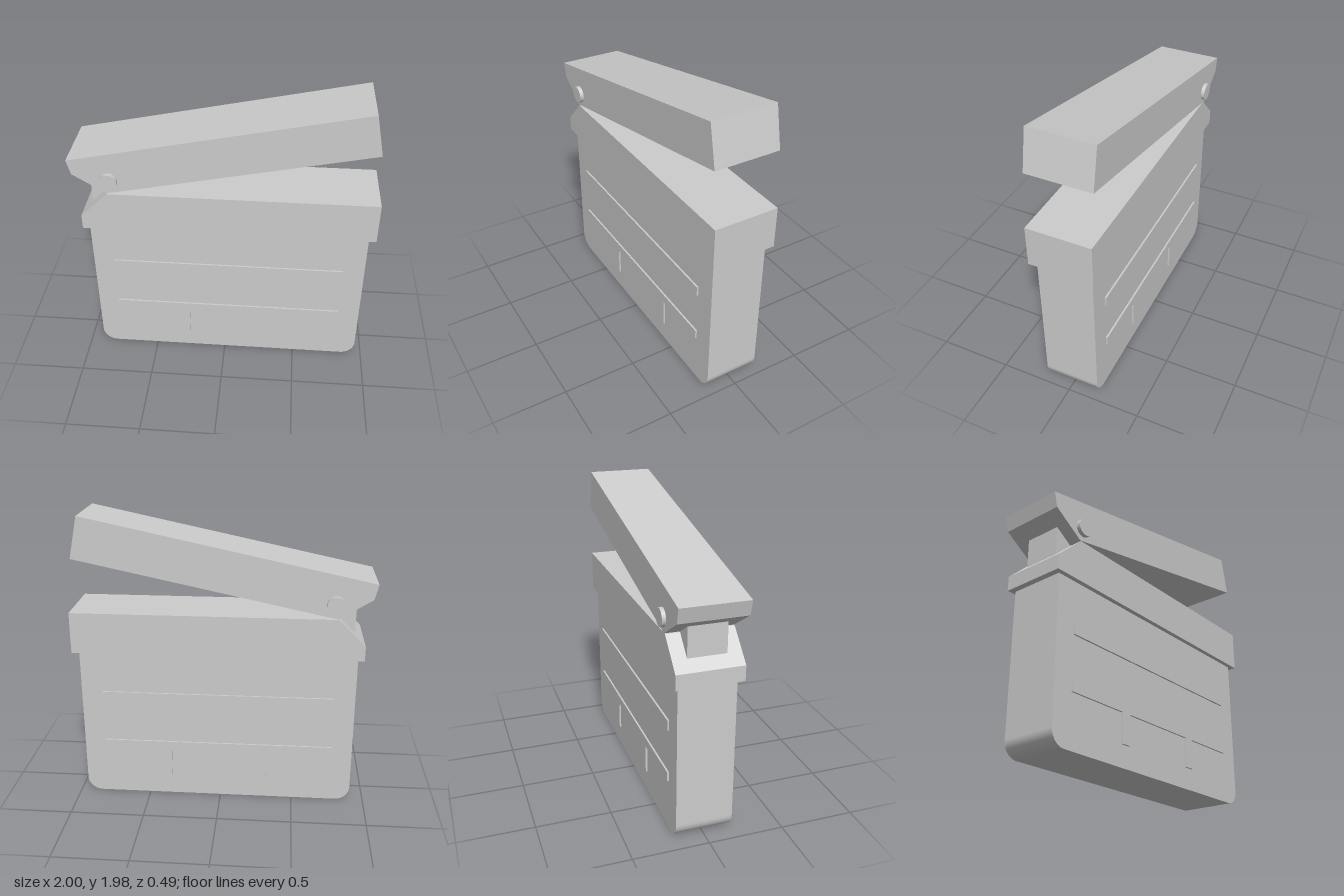
import * as THREE from 'three';

const material = new THREE.MeshStandardMaterial({ color: 0xcccccc, flatShading: true });

export function createModel() {
  const model = new THREE.Group();

  const add = (name, geometry, x = 0, y = 0, z = 0) => {
    const mesh = new THREE.Mesh(geometry, material);
    mesh.name = name;
    mesh.position.set(x, y, z);
    model.add(mesh);
    return mesh;
  };

  // Side outline extruded through the thickness, centred on z
  const slab = (name, shape, depth, z = 0) => add(name,
    new THREE.ExtrudeGeometry(shape, { depth, bevelEnabled: false, curveSegments: 8 }), 0, 0, z - depth / 2);
  const polygon = (points) => new THREE.Shape(points.map(([x, y]) => new THREE.Vector2(x, y)));

  // Box given by its limits in x and y
  const block = (name, x0, x1, y0, y1, depth, z = 0) =>
    add(name, new THREE.BoxGeometry(x1 - x0, y1 - y0, depth), (x0 + x1) / 2, (y0 + y1) / 2, z);

  // Flat body with rounded lower corners
  const [left, right, r] = [-0.905, 0.95, 0.1];
  const body = new THREE.Shape();
  body.moveTo(left, 1.07);
  body.lineTo(left, r);
  body.absarc(left + r, r, r, Math.PI, Math.PI * 1.5, false);
  body.lineTo(right - r, 0);
  body.absarc(right - r, r, r, Math.PI * 1.5, Math.PI * 2, false);
  body.lineTo(right, 1.07);
  slab('body', body, 0.376);

  // Wider collar with a chamfer at the hinge end
  slab('collar', polygon([[-0.945, 1.06], [0.995, 1.06], [0.995, 1.34], [-0.76, 1.34], [-0.945, 1.16]]), 0.436, 0.002);

  // Hinge: post, tilted lid and pin
  block('hingePost', -0.88, -0.625, 1.1, 1.45, 0.25, 0.002);
  slab('lid', polygon([[-1, 1.58], [-0.975, 1.48], [-0.76, 1.345], [0.957, 1.705], [0.9, 1.98]]), 0.438, -0.003);
  const pin = add('hingePin', new THREE.CylinderGeometry(0.058, 0.058, 0.49, 32), -0.74, 1.44, -0.002);
  pin.rotation.x = Math.PI / 2;

  // Raised ribs on both faces
  for (const [side, s] of [['front', 1], ['back', -1]]) {
    const rib = (name, x0, x1, y0, y1) => block(side + name, x0, x1, y0, y1, 0.04, s * 0.18);
    rib('UpperRib', -0.765, 0.805, 0.705, 0.775);
    rib('LowerRib', -0.765, 0.805, 0.345, 0.41);
    rib('RightStub', -0.32, -0.25, 0.145, 0.345);
    rib('LeftStub', 0.338, 0.406, 0.145, 0.345);
  }

  return model;
}
